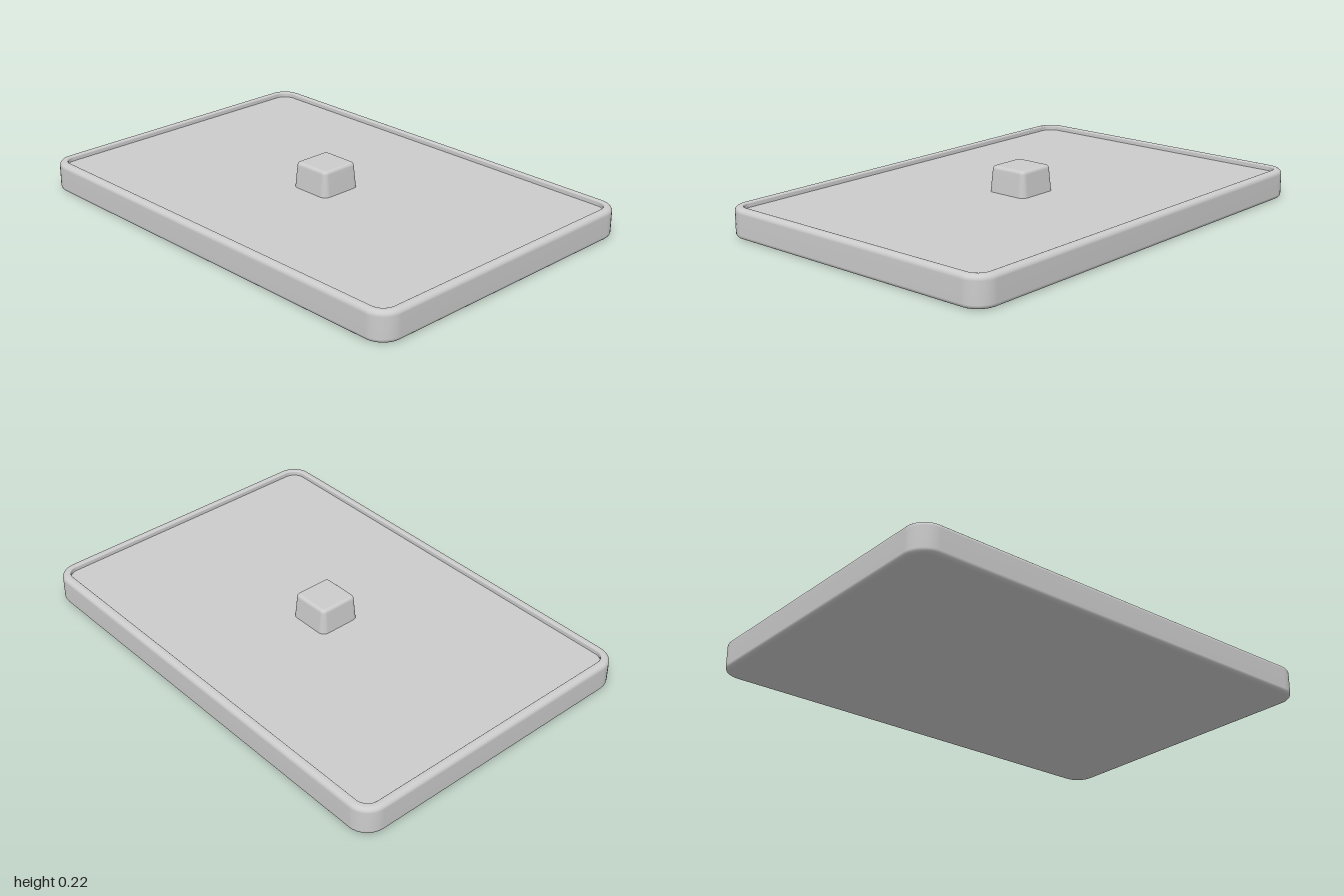
import * as THREE from 'three';

const CORNER_STEPS = 8;

// Points of a rounded rectangle in the xz plane
function ring(hx, hz, r, y) {
  const pts = [];
  const signs = [[1, 1], [-1, 1], [-1, -1], [1, -1]];
  signs.forEach(([sx, sz], q) => {
    for (let i = 0; i <= CORNER_STEPS; i++) {
      const a = (q + i / CORNER_STEPS) * Math.PI / 2;
      pts.push([sx * (hx - r) + r * Math.cos(a), y, sz * (hz - r) + r * Math.sin(a)]);
    }
  });
  return pts;
}

// Skin over a profile of [inset, y]; optional flat caps on the first and last ring
function loft(hx, hz, r, profile, capBottom, capTop) {
  const pos = [], idx = [];
  const n = 4 * (CORNER_STEPS + 1);
  const rings = profile.map(([d, y]) => ring(hx - d, hz - d, Math.max(r - d, 0.008), y));
  rings.forEach(pts => pts.forEach(p => pos.push(...p)));
  for (let i = 0; i < rings.length - 1; i++) {
    for (let j = 0; j < n; j++) {
      const a = i * n + j, b = i * n + (j + 1) % n;
      idx.push(a, a + n, b, b, a + n, b + n);
    }
  }
  const cap = (pts, up) => {
    const c = pos.length / 3;
    pos.push(0, pts[0][1], 0);
    pts.forEach(p => pos.push(...p));
    for (let j = 0; j < n; j++) {
      const a = c + 1 + j, b = c + 1 + (j + 1) % n;
      if (up) idx.push(c, b, a); else idx.push(c, a, b);
    }
  };
  if (capBottom) cap(rings[0], false);
  if (capTop) cap(rings[rings.length - 1], true);
  const geo = new THREE.BufferGeometry();
  geo.setAttribute('position', new THREE.Float32BufferAttribute(pos, 3));
  geo.setIndex(idx);
  geo.computeVertexNormals();
  return geo;
}

// Quarter-round profile of [inset, y] between two angles
function arc(inset, y, rx, ry, from, to, steps = 5) {
  return Array.from({ length: steps + 1 }, (_, i) => {
    const a = from + (to - from) * i / steps;
    return [inset - rx * Math.cos(a), y + ry * Math.sin(a)];
  });
}

export function createModel() {
  const group = new THREE.Group();
  const grey = new THREE.MeshStandardMaterial({ color: 0xcccccc });
  grey.name = 'light grey';
  const add = (name, geo) => {
    const mesh = new THREE.Mesh(geo, grey);
    mesh.name = name;
    group.add(mesh);
  };
  const H = Math.PI / 2;
  const plateY = 0.105, rimY = 0.126, rim = 0.036;

  // Tray with softened edges and a raised rim
  add('case', loft(1, 0.687, 0.09, [
    ...arc(0.018, 0.018, 0.018, 0.018, -H, 0),
    ...arc(0.02, rimY - 0.02, 0.02, 0.02, 0, H),
    ...arc(rim - 0.006, rimY - 0.006, 0.006, 0.006, H, Math.PI, 3),
    [rim, plateY - 0.002],
  ], true, false));

  // Flat recessed plate inside the rim
  add('plate', loft(1 - rim, 0.687 - rim, 0.09 - rim, [
    [0, plateY - 0.01], [0, plateY],
  ], false, true));

  // Single tapered key with a rounded top
  add('keycap', loft(0.098, 0.098, 0.03, [
    [0, plateY - 0.002], [0.005, 0.155],
    ...arc(0.024, 0.2, 0.0145, 0.015, 0, H),
  ], false, true));

  return group;
}
